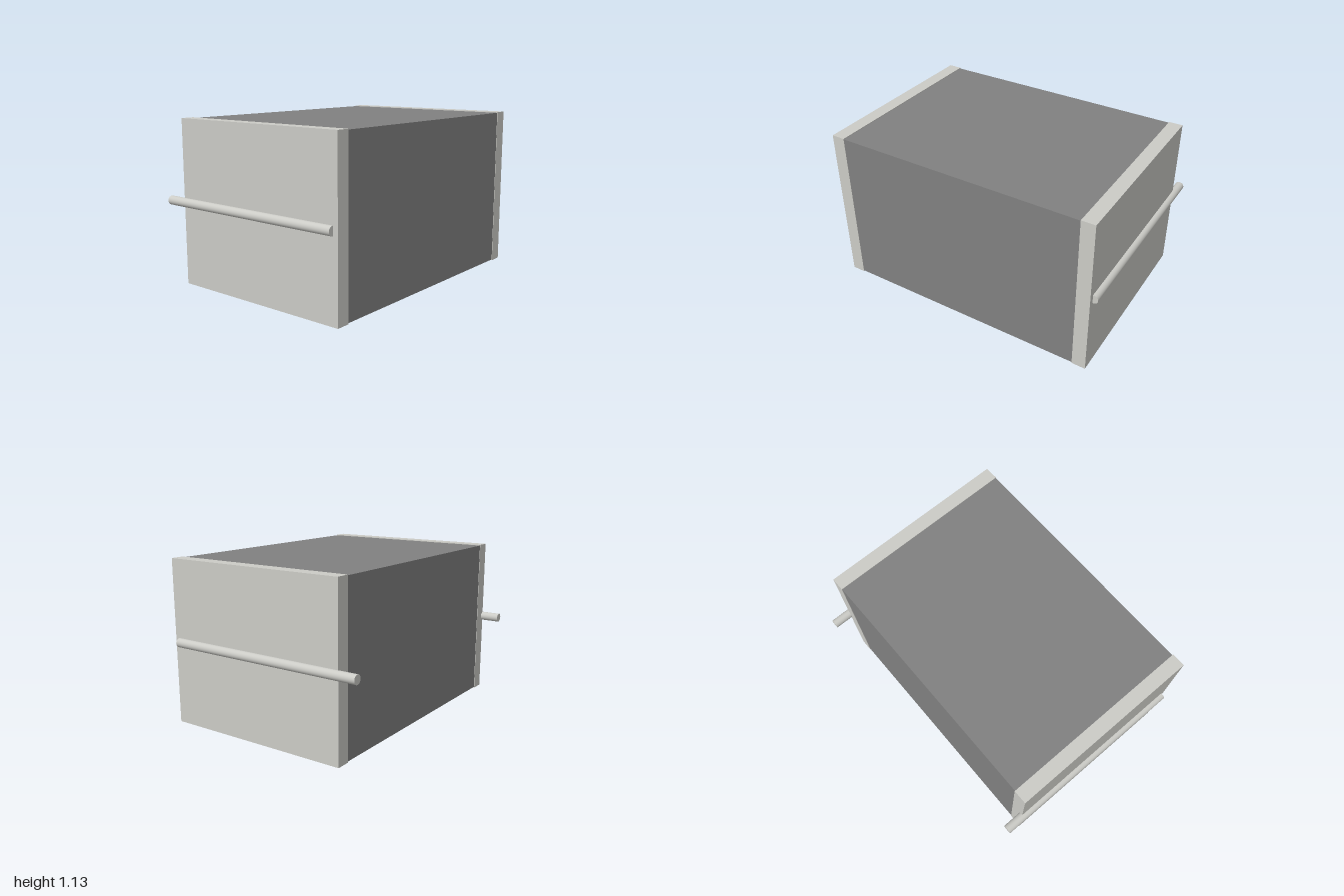
import * as THREE from 'three';

export function createModel() {
  const model = new THREE.Group();
  const dark = new THREE.MeshStandardMaterial({ color: 0x808080 });
  const light = new THREE.MeshStandardMaterial({ color: 0xcbcbc6 });

  const add = (name, geometry, material, x, y, z) => {
    const mesh = new THREE.Mesh(geometry, material);
    mesh.name = name;
    mesh.position.set(x, y, z);
    model.add(mesh);
    return mesh;
  };

  const midY = 0.564, midZ = 0.067;

  // Dark central block, a hair smaller than the side panels
  add('body', new THREE.BoxGeometry(1.74, 1.118, 1.33), dark, 0, midY, midZ);

  // Pale panel and half-sunk rail on each side
  for (const [side, s] of [['left', 1], ['right', -1]]) {
    add(side + 'Panel', new THREE.BoxGeometry(0.095, 1.128, 1.336), light, s * 0.9175, midY, midZ);
    const rail = add(side + 'Rail', new THREE.CylinderGeometry(0.031, 0.031, 1.435, 32), light, s * 0.969, 0.565, -0.0175);
    rail.rotation.x = Math.PI / 2;
  }

  return model;
}
